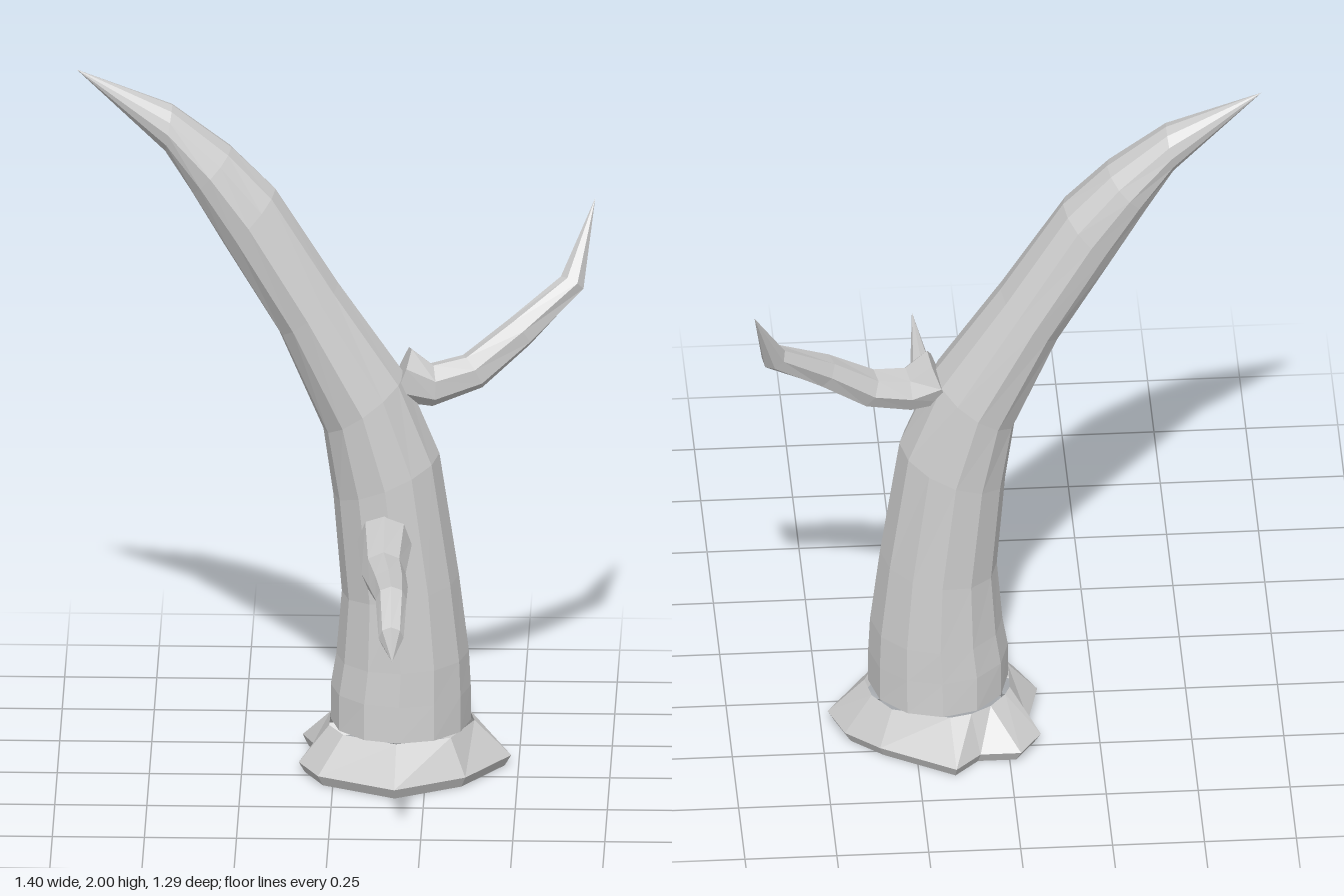
import * as THREE from 'three';

const V = (x, y, z) => new THREE.Vector3(x, y, z);
const material = new THREE.MeshStandardMaterial({ color: 0xcccccc, flatShading: true, side: THREE.DoubleSide });

// Skin a list of rings (each an array of points) into a faceted mesh
function loft(name, rings, capStart = false) {
  const pos = [];
  const tri = (a, b, c) => { for (const p of [a, b, c]) pos.push(p.x, p.y, p.z); };
  const n = rings[0].length;
  for (let i = 0; i < rings.length - 1; i++) {
    for (let j = 0; j < n; j++) {
      const k = (j + 1) % n;
      const a = rings[i][j], b = rings[i][k], c = rings[i + 1][k], d = rings[i + 1][j];
      tri(a, b, c);
      if (c.distanceTo(d) > 1e-6) tri(a, c, d);
    }
  }
  if (capStart) for (let j = 1; j < n - 1; j++) tri(rings[0][0], rings[0][j + 1], rings[0][j]);
  const geometry = new THREE.BufferGeometry();
  geometry.setAttribute('position', new THREE.Float32BufferAttribute(pos, 3));
  geometry.computeVertexNormals();
  const mesh = new THREE.Mesh(geometry, material);
  mesh.name = name;
  return mesh;
}

// Ring of points around a centre, spanned by two half axes
function ring(centre, u, v, sides) {
  return Array.from({ length: sides }, (_, j) => {
    const a = (j / sides) * Math.PI * 2;
    return centre.clone().addScaledVector(u, Math.cos(a)).addScaledVector(v, Math.sin(a));
  });
}

// Crooked tapering branch; stations are [x, y, z, radius across, radius up]
function branch(name, stations, sides) {
  const c = stations.map(([x, y, z]) => V(x, y, z));
  const rings = c.map((p, i) => {
    const t = c[Math.min(i + 1, c.length - 1)].clone().sub(c[Math.max(i - 1, 0)]).normalize();
    const u = V(0, 1, 0).cross(t).normalize();
    const v = t.clone().cross(u);
    return ring(p, u.multiplyScalar(stations[i][3]), v.multiplyScalar(stations[i][4]), sides);
  });
  return loft(name, rings, true);
}

export function createModel() {
  const group = new THREE.Group();
  group.name = 'deadTree';
  const axisZ = -0.345;

  // Trunk: left edge x, y, right edge x, y, half depth of each section
  const sections = [
    [-0.01, 0.13, 0.37, 0.13, 0.195],
    [-0.01, 0.23, 0.37, 0.23, 0.187],
    [0.005, 0.32, 0.365, 0.33, 0.18],
    [0.02, 0.5, 0.338, 0.55, 0.165],
    [-0.003, 0.78, 0.285, 0.9, 0.15],
    [-0.03, 0.97, 0.19, 1.13, 0.14],
    [-0.15, 1.25, 0.01, 1.39, 0.122],
    [-0.30, 1.5, -0.16, 1.66, 0.105],
    [-0.39, 1.655, -0.28, 1.78, 0.09],
    [-0.46, 1.77, -0.44, 1.9, 0.065],
    [-0.7, 2, -0.7, 2, 0],
  ];
  group.add(loft('trunk', sections.map(([lx, ly, rx, ry, d]) => ring(
    V((lx + rx) / 2, (ly + ry) / 2, axisZ),
    V((rx - lx) / 2, (ry - ly) / 2, 0), V(0, 0, -d), 12))));

  // Flared root collar with an irregular rim, open underneath
  const rim = [
    [0.48, -0.34], [0.44, -0.45], [0.35, -0.53], [0.15, -0.65], [0.08, -0.58], [-0.03, -0.58],
    [-0.09, -0.49], [-0.06, -0.42], [-0.095, -0.27], [-0.04, -0.16], [0.17, -0.055], [0.36, -0.16],
  ];
  const cx = 0.18;
  const rimRing = (y, s) => rim.map(([x, z]) => V(cx + (x - cx) * s, y, axisZ + (z - axisZ) * s));
  const neck = rim.map(([x, z]) => {
    const a = Math.atan2(z - axisZ, x - cx);
    return V(cx + Math.cos(a) * 0.2, 0.13, axisZ + Math.sin(a) * 0.2);
  });
  group.add(loft('rootCollar', [rimRing(0, 0.94), rimRing(0.03, 1), neck]));

  // Branch reaching forward
  group.add(branch('frontBranch', [
    [0.14, 0.69, -0.22, 0.075, 0.085],
    [0.142, 0.67, -0.02, 0.06, 0.062],
    [0.16, 0.685, 0.13, 0.052, 0.05],
    [0.17, 0.698, 0.26, 0.042, 0.043],
    [0.173, 0.63, 0.375, 0.034, 0.032],
    [0.183, 0.66, 0.645, 0, 0],
  ], 8));

  // Branch reaching to the side and up
  group.add(branch('sideBranch', [
    [0.18, 1.125, -0.36, 0.068, 0.082],
    [0.265, 1.092, -0.365, 0.06, 0.06],
    [0.375, 1.12, -0.395, 0.055, 0.052],
    [0.5, 1.215, -0.445, 0.047, 0.046],
    [0.64, 1.325, -0.535, 0.036, 0.036],
    [0.7, 1.53, -0.65, 0, 0],
  ], 7));

  return group;
}
